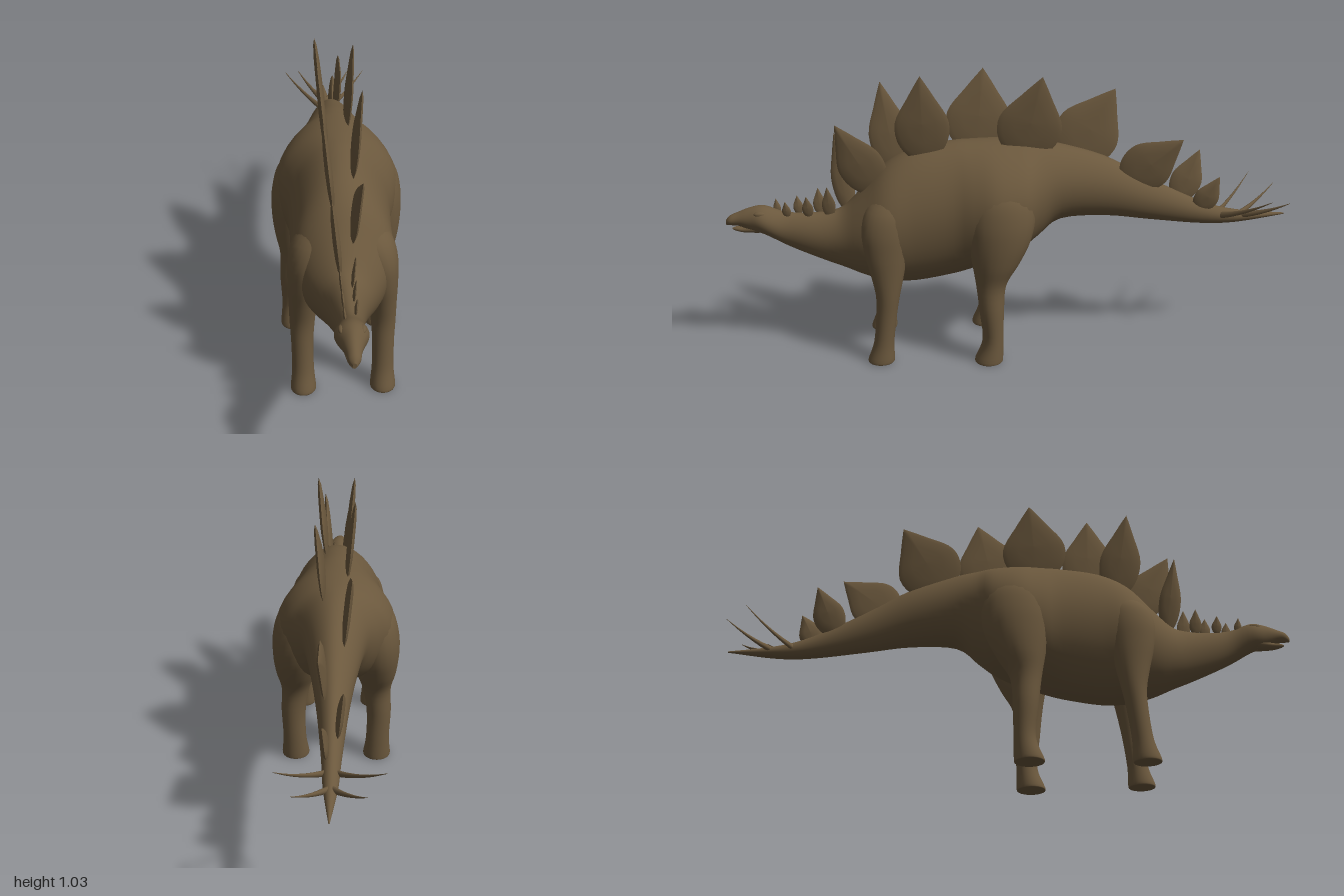
import * as THREE from 'three';

const hide = new THREE.MeshStandardMaterial({ color: 0x6b583d });
hide.name = 'brownHide';
const V = (x, y, z) => new THREE.Vector3(x, y, z);

// Catmull-Rom blend between stations of plain numbers
function smooth(st, sub) {
  const out = [], at = i => st[Math.max(0, Math.min(st.length - 1, i))];
  for (let i = 0; i < st.length - 1; i++) {
    for (let k = 0; k < sub; k++) {
      const t = k / sub;
      out.push(st[i].map((b, n) => {
        const a = at(i - 1)[n], c = at(i + 1)[n], d = at(i + 2)[n];
        return b + 0.5 * t * (c - a + t * (2 * a - 5 * b + 4 * c - d + t * (3 * (b - c) + d - a)));
      }));
    }
  }
  out.push(st[st.length - 1]);
  return out;
}

function build(pos, idx) {
  const geo = new THREE.BufferGeometry();
  geo.setAttribute('position', new THREE.Float32BufferAttribute(pos, 3));
  geo.setIndex(idx);
  geo.computeVertexNormals();
  return geo;
}

// Closed skin over rings of points, with a flat cap at each end
function skin(rings) {
  const n = rings[0].length, m = rings.length, pos = [], idx = [];
  const add = p => pos.push(p.x, p.y, p.z) / 3 - 1;
  rings.forEach(r => r.forEach(add));
  for (let i = 0; i < m - 1; i++) {
    for (let j = 0; j < n; j++) {
      const a = i * n + j, b = a + n, c = i * n + (j + 1) % n, d = c + n;
      idx.push(a, b, c, c, b, d);
    }
  }
  [rings[0], rings[m - 1]].forEach((r, end) => {
    const c = add(r.reduce((s, p) => s.add(p), V(0, 0, 0)).divideScalar(n));
    const first = r.map(add);
    first.forEach((f, j) => {
      const g = first[(j + 1) % n];
      end ? idx.push(c, g, f) : idx.push(c, f, g);
    });
  });
  return build(pos, idx);
}

const circle = (n, f) => Array.from({ length: n }, (_, j) => {
  const a = j / n * Math.PI * 2;
  return f(Math.cos(a), Math.sin(a));
});

// Stations [z, bottom y, top y, half width, centre x], front to back, slightly pinched towards the spine
const alongZ = (st, n) => skin(smooth(st, 4).map(([z, lo, hi, w, x = 0]) =>
  circle(n, (c, s) => V(x + w * c * (1 - 0.14 * Math.max(0, s) ** 2), (lo + hi) / 2 + (hi - lo) / 2 * s, z))));

// Stations [y, centre x, centre z, radius x, radius z], running upwards
const alongY = (st, side) => skin(smooth(st, 4).map(([y, x, z, rx, rz]) =>
  circle(24, (c, s) => V(side * x + rx * c, y, z + rz * s))));

// Leaf outline from tip to base: [half width, height], mirrored across its axis
const leaf = [[0.47, 0.75], [1, 0.42], [0.8, 0.1]];

// Plate: a sharp-edged lens on that leaf, leaning outwards
function plateGeometry(side, tipZ, tipY, baseZ, baseY, width, thick) {
  const base = new THREE.Vector2(baseZ, baseY);
  const axis = new THREE.Vector2(tipZ, tipY).sub(base);
  const across = new THREE.Vector2(axis.y, -axis.x).normalize().multiplyScalar(width);
  const at = (u, v) => base.clone().addScaledVector(across, u).addScaledVector(axis, v);
  const tip = at(0, 1);
  const left = leaf.map(([u, v]) => at(-u, v)), right = leaf.map(([u, v]) => at(u, v)).reverse();
  const shape = new THREE.Shape().moveTo(tip.x, tip.y);
  shape.splineThru([...left, at(0, -0.08), ...right, tip]);
  const edge = shape.getPoints(4).slice(0, -1), mid = at(0, 0.42);
  const pos = [], idx = [], n = edge.length, scales = [1, 0.85, 0.5, 0];
  for (const face of [1, -1]) {
    const start = pos.length / 3;
    scales.forEach((k, i) => edge.forEach((p, j) => {
      const q = mid.clone().lerp(p, k), a = start + i * n + j;
      pos.push(side * (0.02 + 0.1 * (q.y - 0.56)) + face * thick * Math.sqrt(1 - k * k), q.y, q.x);
      if (i === scales.length - 1) return;
      const c = start + i * n + (j + 1) % n, b = a + n, d = c + n;
      face > 0 ? idx.push(a, b, c, c, b, d) : idx.push(a, c, b, c, d, b);
    }));
  }
  return build(pos, idx);
}

export function createModel() {
  const model = new THREE.Group();
  model.name = 'platedDinosaur';
  const add = (name, geo) => {
    const mesh = new THREE.Mesh(geo, hide);
    mesh.name = name;
    model.add(mesh);
    return mesh;
  };

  // Head, neck, trunk and tail, swelling at shoulder and hip
  add('body', alongZ([
    [0.995, 0.488, 0.505, 0.006], [0.98, 0.487, 0.522, 0.018], [0.95, 0.484, 0.535, 0.024],
    [0.91, 0.468, 0.55, 0.036], [0.86, 0.452, 0.556, 0.052], [0.79, 0.41, 0.532, 0.042],
    [0.72, 0.376, 0.526, 0.05], [0.64, 0.342, 0.53, 0.068], [0.58, 0.32, 0.55, 0.094],
    [0.51, 0.292, 0.62, 0.136], [0.43, 0.272, 0.705, 0.168], [0.33, 0.268, 0.757, 0.168],
    [0.2, 0.292, 0.78, 0.175], [0.13, 0.315, 0.784, 0.195], [0.05, 0.345, 0.785, 0.214],
    [-0.04, 0.388, 0.782, 0.192], [-0.1, 0.43, 0.777, 0.147], [-0.18, 0.49, 0.763, 0.11],
    [-0.34, 0.496, 0.714, 0.078], [-0.5, 0.476, 0.628, 0.052], [-0.69, 0.455, 0.538, 0.032],
    [-0.82, 0.456, 0.502, 0.023], [-0.995, 0.481, 0.486, 0.002],
  ], 40));
  add('lowerJaw', alongZ([
    [0.974, 0.471, 0.476, 0.005], [0.96, 0.465, 0.481, 0.012],
    [0.93, 0.459, 0.484, 0.02], [0.88, 0.457, 0.5, 0.03],
  ], 16));

  for (const side of [1, -1]) {
    const label = side > 0 ? 'left' : 'right';

    const brow = add(label + 'Brow', new THREE.SphereGeometry(0.013, 16, 12));
    brow.position.set(side * 0.031, 0.535, 0.872);
    brow.scale.set(0.8, 0.75, 1.6);

    // Legs rise from flat feet and sink into the shoulder and hip
    add(label + 'FrontLeg', alongY([
      [0.004, 0.135, 0.464, 0.04, 0.044], [0.015, 0.135, 0.464, 0.043, 0.047],
      [0.08, 0.135, 0.453, 0.037, 0.036], [0.18, 0.136, 0.441, 0.037, 0.036],
      [0.26, 0.135, 0.433, 0.042, 0.042], [0.34, 0.131, 0.432, 0.048, 0.058],
      [0.42, 0.125, 0.434, 0.056, 0.075], [0.5, 0.114, 0.432, 0.065, 0.085],
      [0.57, 0.09, 0.42, 0.07, 0.08], [0.63, 0.06, 0.4, 0.05, 0.05],
    ], side));
    add(label + 'HindLeg', alongY([
      [0.004, 0.154, 0.08, 0.048, 0.048], [0.015, 0.154, 0.08, 0.051, 0.05],
      [0.09, 0.156, 0.066, 0.043, 0.037], [0.2, 0.159, 0.07, 0.045, 0.043],
      [0.3, 0.15, 0.071, 0.052, 0.053], [0.38, 0.146, 0.055, 0.073, 0.082],
      [0.46, 0.14, 0.042, 0.088, 0.108], [0.54, 0.132, 0.036, 0.094, 0.12],
      [0.62, 0.11, 0.034, 0.096, 0.115], [0.69, 0.075, 0.034, 0.08, 0.08],
    ], side));

    // Two tail spikes on each side, curving out, up and back
    [[-0.75, 0.162, -0.9, 0.588], [-0.835, 0.108, -0.98, 0.562]].forEach(([z0, x1, z1, y1], i) => {
      const st = [0, 0.25, 0.5, 0.75, 1].map(t => {
        const y = 0.485 + (y1 - 0.485) * (0.6 * t + 0.4 * t * t), r = 0.012 * (1 - t) + 0.0008;
        return [z0 + (z1 - z0) * t, y - r, y + r, r, side * x1 * (0.06 + 0.94 * t)];
      });
      add(label + 'TailSpike' + (i + 1), alongZ(st, 10));
    });
  }

  // Back plates from neck to tail on alternating sides: [tip z, tip y, base z, base y, half width]
  [
    [0.607, 0.805, 0.57, 0.54, 0.038], [0.595, 0.86, 0.465, 0.62, 0.078],
    [0.442, 0.98, 0.395, 0.68, 0.072], [0.302, 1.03, 0.297, 0.74, 0.092],
    [0.086, 1.022, 0.112, 0.74, 0.112], [-0.11, 1.02, -0.045, 0.74, 0.11],
    [-0.376, 0.942, -0.225, 0.70, 0.113], [-0.605, 0.782, -0.415, 0.63, 0.092],
    [-0.682, 0.72, -0.61, 0.545, 0.056], [-0.745, 0.638, -0.68, 0.51, 0.044],
  ].forEach((p, i) => add('backPlate' + (i + 1), plateGeometry(i % 2 ? 1 : -1, ...p, 0.012)));

  // Small pointed scutes along the neck
  for (let i = 0; i < 6; i++) {
    const z = 0.82 - 0.037 * i, tipY = 0.575 + 0.0022 * i * i;
    add('neckScute' + (i + 1), plateGeometry(i % 2 ? 1 : -1, z, tipY, z - 0.005, 0.52, 0.013 + 0.002 * i, 0.005));
  }

  return model;
}
